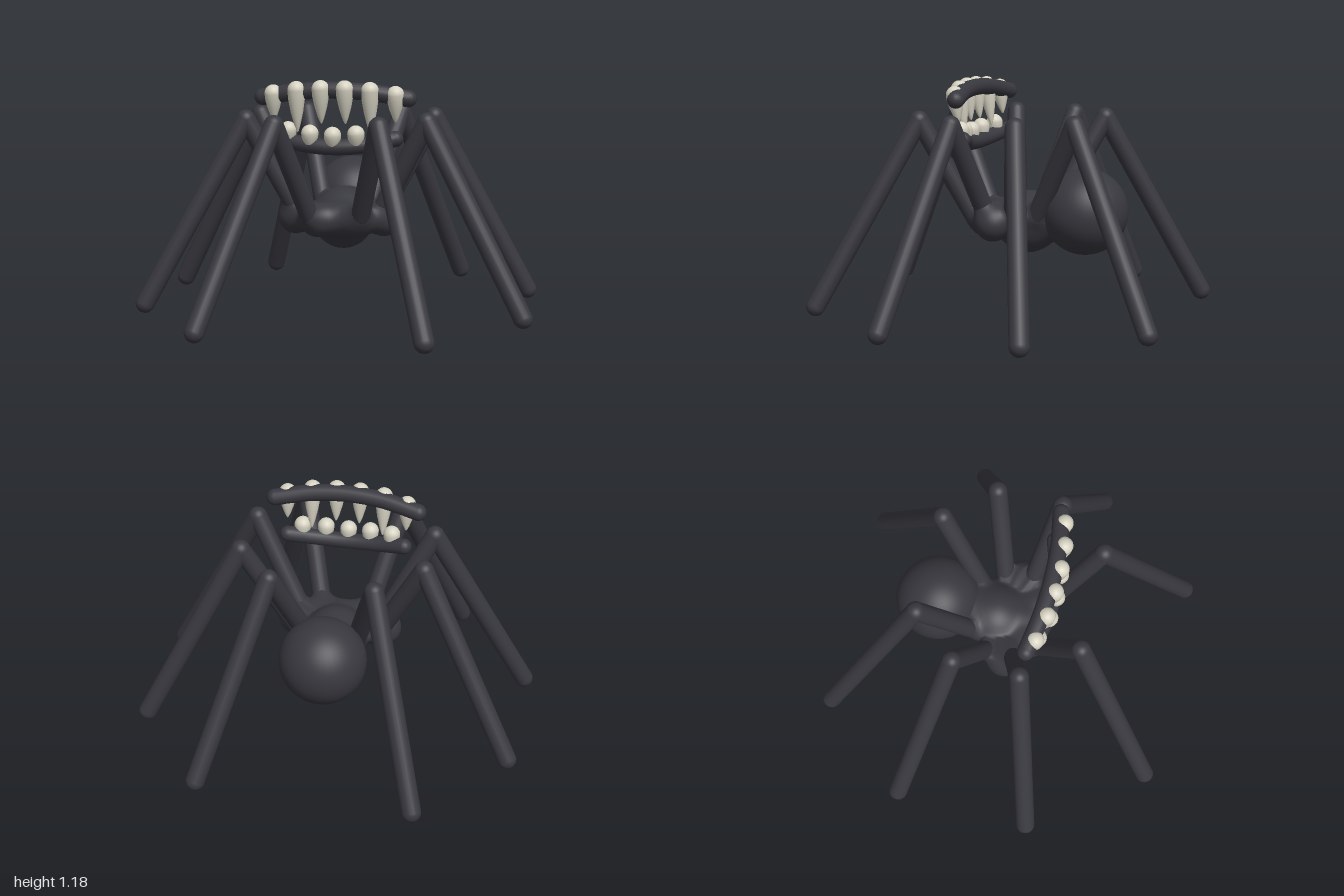
import * as THREE from 'three';
import { mergeVertices } from 'three/addons/utils/BufferGeometryUtils.js';

const V = (x, y, z) => new THREE.Vector3(x, y, z);

// Root, knee and foot of the legs on the left side
const LEGS = [
  { name: 'frontLeg', pts: [V(0.13, 0.5, 0.17), V(0.255, 0.975, 0.405), V(0.535, 0.048, 0.855)] },
  { name: 'frontMiddleLeg', pts: [V(0.21, 0.5, 0.06), V(0.455, 0.975, 0.15), V(0.948, 0.048, 0.31)] },
  { name: 'backMiddleLeg', pts: [V(0.21, 0.5, -0.08), V(0.455, 0.975, -0.18), V(0.935, 0.048, -0.38)] },
  { name: 'backLeg', pts: [V(0.12, 0.5, -0.17), V(0.255, 0.975, -0.41), V(0.535, 0.048, -0.86)] },
];
const LEG_R = 0.048;

// Rounded limb between two points
function limb(a, b, r, material) {
  const d = b.clone().sub(a);
  const mesh = new THREE.Mesh(new THREE.CapsuleGeometry(r, d.length(), 8, 20), material);
  mesh.position.copy(a).addScaledVector(d, 0.5);
  mesh.quaternion.setFromUnitVectors(V(0, 1, 0), d.normalize());
  return mesh;
}

// Lobes of the thorax as capsules: ends and radius
function thoraxLobes() {
  const lobes = [
    [V(0, 0.45, -0.08), V(0, 0.45, -0.08), 0.165],
    [V(0, 0.475, -0.1), V(0, 0.495, -0.3), 0.125],
    [V(0, 0.47, 0.08), V(0, 0.47, 0.08), 0.09],
  ];
  for (const s of [-1, 1]) {
    lobes.push([V(s * 0.23, 0.47, 0.02), V(s * 0.23, 0.47, 0.02), 0.1]);
    lobes.push([V(s * 0.1, 0.465, 0.11), V(s * 0.1, 0.465, 0.11), 0.092]);
    for (const { pts } of LEGS) {
      const a = pts[0].clone();
      const b = a.clone().lerp(pts[1], 0.12);
      a.x *= s;
      b.x *= s;
      lobes.push([a, b, LEG_R]);
    }
  }
  return lobes;
}

// Smoothly blended body: push a sphere out to the surface of the merged lobes
function thoraxGeometry() {
  const lobes = thoraxLobes();
  const k = 0.025;
  const line = new THREE.Line3();
  const near = V(0, 0, 0);
  const field = (p) => {
    let sum = 0;
    for (const [a, b, r] of lobes) {
      if (a.equals(b)) near.copy(a);
      else line.set(a, b).closestPointToPoint(p, true, near);
      sum += Math.exp(-(p.distanceTo(near) - r) / k);
    }
    return 0.012 - k * Math.log(sum);
  };
  let geo = new THREE.IcosahedronGeometry(1, 22);
  geo.deleteAttribute('normal');
  geo.deleteAttribute('uv');
  geo = mergeVertices(geo, 1e-5);
  const pos = geo.attributes.position;
  const centre = V(0, 0.46, -0.04);
  const dir = V(0, 0, 0);
  const p = V(0, 0, 0);
  for (let i = 0; i < pos.count; i++) {
    dir.fromBufferAttribute(pos, i).normalize();
    let t = 0.02;
    for (let n = 0; n < 40; n++) {
      const d = field(p.copy(centre).addScaledVector(dir, t));
      if (d > -0.0005) break;
      t -= d * 0.8;
    }
    pos.setXYZ(i, p.x, p.y, p.z);
  }
  geo.computeVertexNormals();
  return geo;
}

// Tooth with a round root at the origin and its tip pointing down
function toothGeometry(r, length) {
  const pts = [];
  for (let i = 0; i <= 8; i++) {
    const a = (i / 8) * Math.PI / 2;
    pts.push(new THREE.Vector2(r * Math.sin(a), r * Math.cos(a)));
  }
  pts.push(
    new THREE.Vector2(r * 0.95, -length * 0.2),
    new THREE.Vector2(r * 0.72, -length * 0.5),
    new THREE.Vector2(r * 0.38, -length * 0.8),
    new THREE.Vector2(r * 0.14, -length * 0.96),
    new THREE.Vector2(0, -length),
  );
  return new THREE.LatheGeometry(pts.reverse(), 20);
}

// Curved gum bar with round ends
function gum(name, half, endY, midY, endZ, midZ, r, material) {
  const group = new THREE.Group();
  group.name = name;
  const pts = [-1, -0.5, 0, 0.5, 1].map((u) =>
    V(u * half, midY + (endY - midY) * u * u, midZ + (endZ - midZ) * u * u));
  const curve = new THREE.CatmullRomCurve3(pts);
  group.add(new THREE.Mesh(new THREE.TubeGeometry(curve, 32, r, 16), material));
  for (const end of [pts[0], pts[4]]) {
    const cap = new THREE.Mesh(new THREE.SphereGeometry(r, 16, 12), material);
    cap.position.copy(end);
    group.add(cap);
  }
  return group;
}

export function createModel() {
  const dark = new THREE.MeshStandardMaterial({ color: 0x38383f });
  dark.name = 'charcoal body';
  const ivory = new THREE.MeshStandardMaterial({ color: 0xd6d2c2 });
  ivory.name = 'ivory teeth';
  const model = new THREE.Group();
  model.name = 'spider';

  // Body
  const thorax = new THREE.Mesh(thoraxGeometry(), dark);
  thorax.name = 'thorax';
  const abdomen = new THREE.Mesh(new THREE.SphereGeometry(0.217, 40, 28), dark);
  abdomen.name = 'abdomen';
  abdomen.position.set(0, 0.52, -0.385);
  model.add(thorax, abdomen);

  // Legs, mirrored left and right
  for (const s of [1, -1]) {
    for (const { name, pts } of LEGS) {
      const [root, knee, foot] = pts.map((p) => V(p.x * s, p.y, p.z));
      const leg = new THREE.Group();
      leg.name = (s > 0 ? 'left ' : 'right ') + name;
      leg.add(limb(root, knee, LEG_R, dark), limb(knee, foot, LEG_R, dark));
      model.add(leg);
    }
  }

  // Floating jaws
  model.add(gum('upperGum', 0.365, 1.09, 1.13, 0.16, 0.2, 0.042, dark));
  model.add(gum('lowerGum', 0.3, 0.89, 0.85, 0.15, 0.21, 0.04, dark));

  // Teeth: x, root height, root depth, length
  const addTooth = (name, x, y, z, length, r) => {
    const tooth = new THREE.Mesh(toothGeometry(r, length), ivory);
    tooth.name = name;
    tooth.position.set(x, y, z);
    tooth.rotation.x = 0.13;
    model.add(tooth);
  };
  for (const s of [-1, 1]) {
    addTooth('upperTooth', s * 0.06, 1.137, 0.226, 0.175, 0.044);
    addTooth('upperTooth', s * 0.183, 1.13, 0.216, 0.215, 0.044);
    addTooth('upperTooth', s * 0.305, 1.11, 0.19, 0.14, 0.044);
    addTooth('lowerTooth', s * 0.115, 0.918, 0.22, 0.095, 0.043);
    addTooth('lowerTooth', s * 0.23, 0.93, 0.19, 0.095, 0.043);
  }
  addTooth('lowerTooth', 0, 0.91, 0.228, 0.09, 0.043);

  return model;
}
